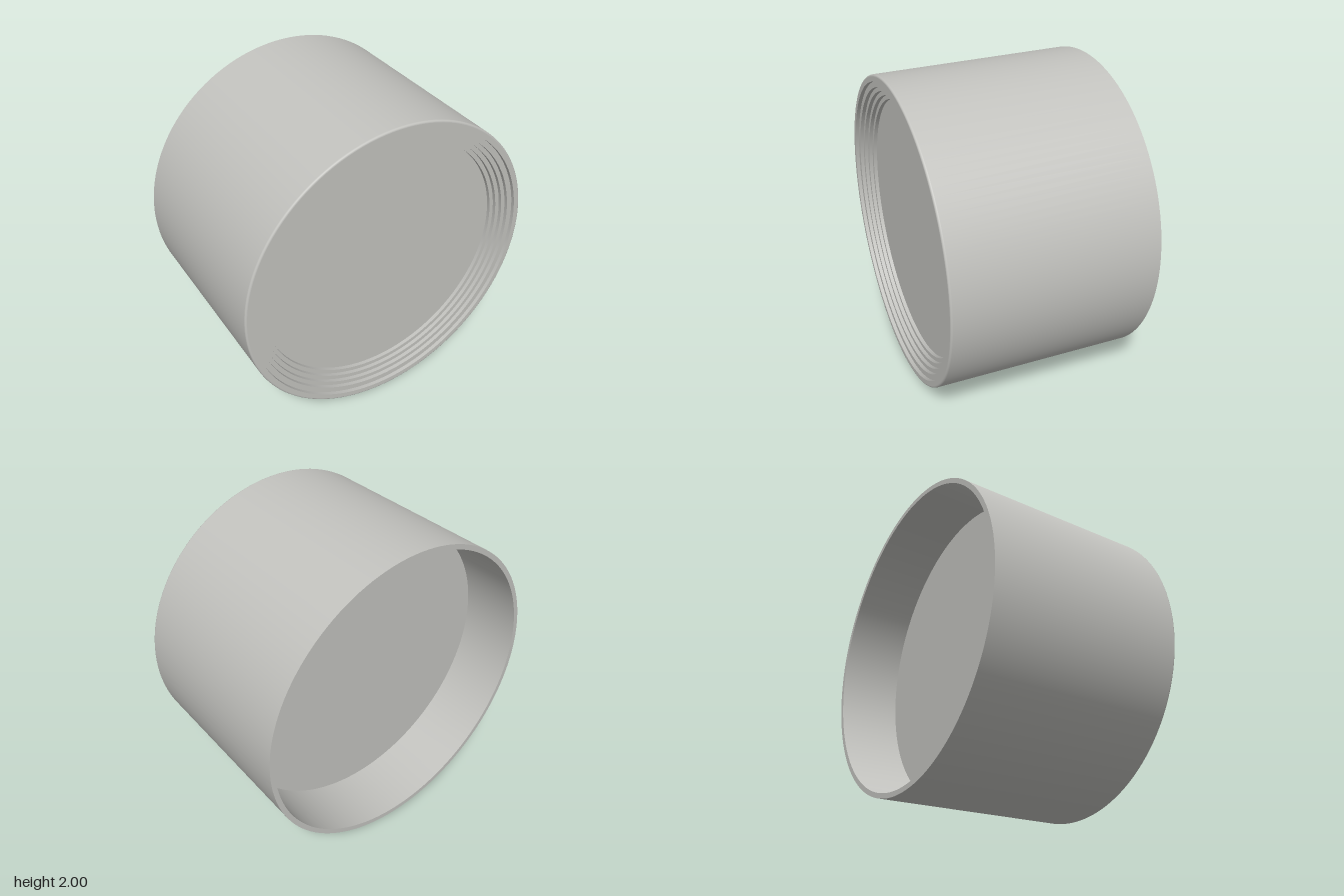
import * as THREE from 'three';
import { mergeGeometries } from 'three/addons/utils/BufferGeometryUtils.js';

const SEGMENTS = 128;

// Revolves each pair of neighbouring profile points [radius, z] separately,
// so every edge of the profile stays sharp
function turned(profile) {
  const bands = [];
  for (let i = 0; i < profile.length - 1; i++) {
    const pts = [profile[i], profile[i + 1]].map(([r, z]) => new THREE.Vector2(r, z));
    bands.push(new THREE.LatheGeometry(pts, SEGMENTS));
  }
  return mergeGeometries(bands).rotateX(Math.PI / 2);
}

export function createModel() {
  const group = new THREE.Group();
  group.name = 'steppedCap';
  const grey = new THREE.MeshStandardMaterial({ color: 0xc2c2be });
  grey.name = 'grey';

  const back = -0.645, front = 0.645;
  const recessFloor = -0.245, faceDepth = 0.12;

  function add(name, geometry) {
    const mesh = new THREE.Mesh(geometry, grey);
    mesh.name = name;
    mesh.position.y = 1;
    group.add(mesh);
  }

  // Deep recess open at the back
  add('backRecess', turned([[0, recessFloor], [0.96, recessFloor], [0.968, back]]));
  add('backRim', turned([[0.968, back], [1, back]]));

  // Slightly tapered outer wall
  add('outerWall', turned([[1, back], [0.986, front - 0.012]]));

  // Small rounded front edge
  const edge = [];
  for (let i = 0; i <= 6; i++) {
    const a = (i / 6) * Math.PI / 2;
    edge.push(new THREE.Vector2(0.974 + 0.012 * Math.cos(a), front - 0.012 + 0.012 * Math.sin(a)));
  }
  add('frontEdge', new THREE.LatheGeometry(edge, SEGMENTS).rotateX(Math.PI / 2));

  // Concentric steps leading down to the front face
  const radii = [0.943, 0.907, 0.88, 0.852, 0.825];
  const steps = [[0.974, front]];
  radii.forEach((r, i) => {
    steps.push([r, front - faceDepth * i / radii.length]);
    steps.push([r, front - faceDepth * (i + 1) / radii.length]);
  });
  add('frontSteps', turned(steps));
  add('frontFace', turned([[0.825, front - faceDepth], [0, front - faceDepth]]));

  return group;
}
